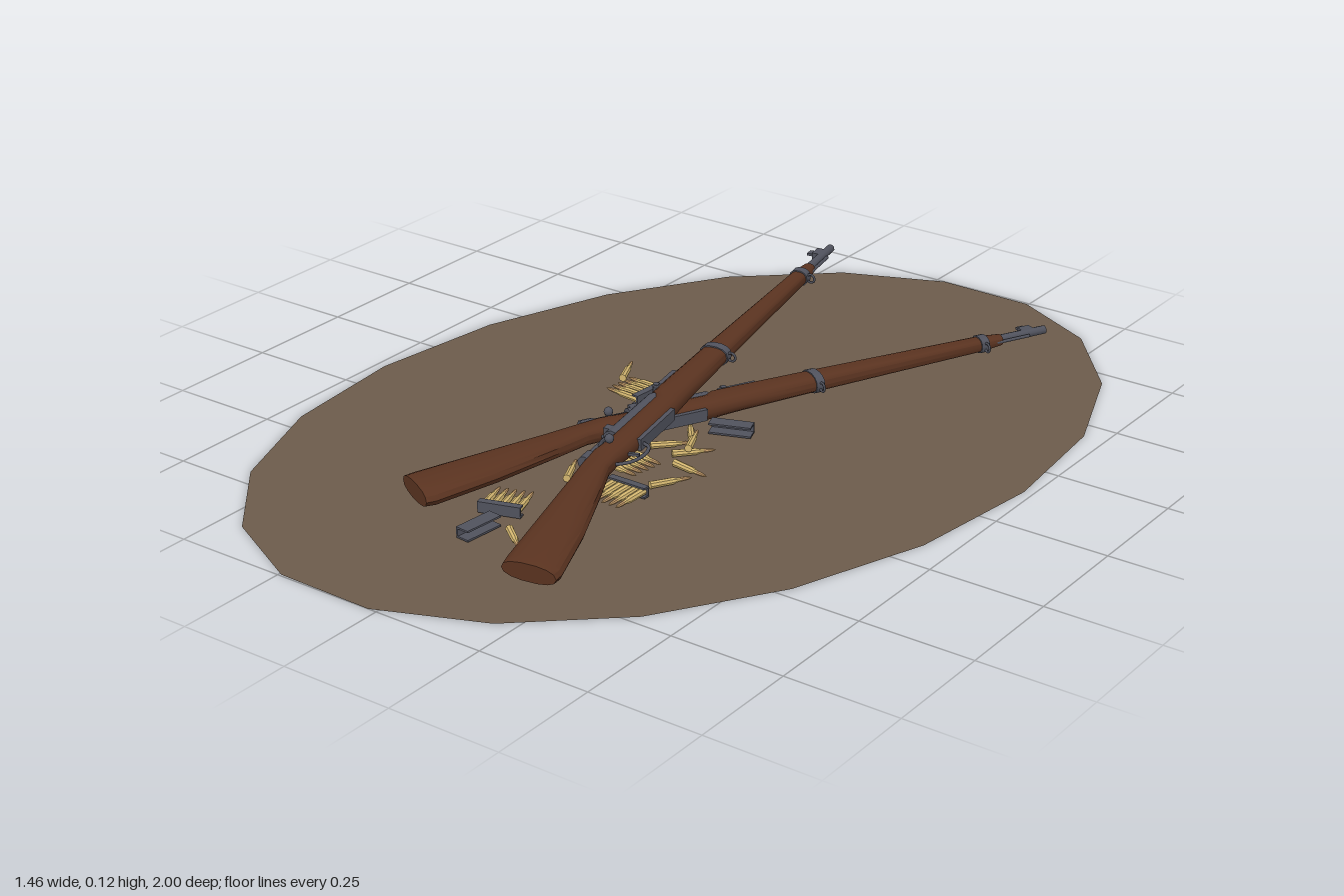
import * as THREE from 'three';
import { toCreasedNormals } from 'three/addons/utils/BufferGeometryUtils.js';

const paint = (name, color, side = THREE.FrontSide) => {
  const m = new THREE.MeshStandardMaterial({ color, side });
  m.name = name;
  return m;
};

export function createModel() {
  const earth = paint('earth', 0x6c5b4b, THREE.DoubleSide);
  const wood = paint('walnut', 0x5a3320);
  const steel = paint('steel', 0x50525d);
  const brass = paint('brass', 0xd2b56f);
  const copper = paint('bullet', 0xc39a68);
  const root = new THREE.Group();
  root.name = 'crossedRifles';

  const add = (parent, name, geo, mat, x = 0, y = 0, z = 0) => {
    const m = new THREE.Mesh(geo, mat);
    m.name = name;
    m.position.set(x, y, z);
    parent.add(m);
    return m;
  };
  const box = (w, h, d) => new THREE.BoxGeometry(w, h, d);
  const rod = (r0, r1, len, n = 10) => new THREE.CylinderGeometry(r1, r0, len, n).rotateX(Math.PI / 2);

  // Oval cross-sections lofted along z; each section is [z, xMin, xMax, halfThickness]
  function loft(sections, sides = 14) {
    const end = ([z, a, b]) => [z, (a + b) / 2 - 1e-5, (a + b) / 2 + 1e-5, 1e-5];
    const rings = [end(sections[0]), ...sections, end(sections[sections.length - 1])];
    const pos = [], idx = [];
    rings.forEach(([z, a, b, h], i) => {
      for (let j = 0; j < sides; j++) {
        const t = (j / sides) * Math.PI * 2, c = Math.cos(t), s = Math.sin(t);
        const q = (v) => Math.sign(v) * Math.abs(v) ** 0.85;
        pos.push((a + b) / 2 + ((b - a) / 2) * q(c), h * q(s), z);
        if (i === rings.length - 1) continue;
        const k = i * sides + j, n = i * sides + ((j + 1) % sides);
        idx.push(k, n, n + sides, k, n + sides, k + sides);
      }
    });
    const g = new THREE.BufferGeometry();
    g.setAttribute('position', new THREE.Float32BufferAttribute(pos, 3));
    g.setIndex(idx);
    return toCreasedNormals(g, 0.7);
  }

  // Ground: a slanted oval with twenty sides
  const oval = new THREE.Shape(Array.from({ length: 20 }, (_, i) => {
    const t = (i * Math.PI) / 10, c = Math.cos(t), s = Math.sin(t);
    return new THREE.Vector2(0.02 * c + 0.73 * s, c + 0.145 * s);
  }));
  add(root, 'ground', new THREE.ShapeGeometry(oval).rotateX(-Math.PI / 2), earth);

  // Rifle lying on its side: muzzle at the origin, z runs to the butt, x is its underside
  function rifle(name, x, y, z, turn, pitch) {
    const g = new THREE.Group();
    g.name = name;
    g.position.set(x, y, z);
    g.rotation.set(pitch, turn, 0, 'YXZ');
    root.add(g);

    add(g, 'stock', loft([
      [0.12, -0.012, 0.016, 0.012], [0.17, -0.018, 0.021, 0.016], [0.4, -0.024, 0.028, 0.018],
      [0.6, -0.029, 0.034, 0.02], [0.78, -0.031, 0.041, 0.022], [0.84, -0.03, 0.045, 0.023],
      [0.86, -0.014, 0.046, 0.023], [1.07, -0.014, 0.047, 0.023], [1.11, -0.02, 0.043, 0.021],
      [1.16, -0.016, 0.047, 0.019], [1.24, -0.005, 0.074, 0.02], [1.4, 0.014, 0.123, 0.022],
      [1.55, 0.032, 0.158, 0.022], [1.572, 0.036, 0.157, 0.02],
    ]), wood);

    // Barrel, front sight and cleaning rod
    add(g, 'barrel', rod(0.0095, 0.0105, 0.2), steel, 0, 0, 0.1);
    add(g, 'cleaningRod', rod(0.004, 0.004, 0.1, 6), steel, 0.014, 0, 0.1);
    add(g, 'frontSightBase', box(0.022, 0.018, 0.03), steel, -0.009, 0, 0.045);
    add(g, 'frontSightBlade', box(0.016, 0.006, 0.018), steel, -0.027, 0, 0.045);

    // Barrel bands with sling swivels
    for (const [s, a, b, h] of [[0.17, -0.021, 0.024, 0.019], [0.6, -0.032, 0.037, 0.023]]) {
      add(g, 'barrelBand', loft([[s - 0.01, a, b, h], [s + 0.01, a, b, h]]), steel);
      add(g, 'slingSwivel', new THREE.TorusGeometry(0.01, 0.003, 5, 10), steel, b + 0.004, 0, s);
    }

    // Rear sight
    add(g, 'rearSight', box(0.012, 0.022, 0.09), steel, -0.031, 0, 0.77);
    add(g, 'rearSightLeaf', box(0.012, 0.026, 0.012), steel, -0.037, 0, 0.8);

    // Receiver, bolt and handle
    add(g, 'receiver', rod(0.02, 0.021, 0.19, 12), steel, -0.014, 0, 0.945);
    add(g, 'bolt', rod(0.012, 0.012, 0.12), steel, -0.018, 0, 1.08);
    add(g, 'boltCocking', rod(0.015, 0.015, 0.03), steel, -0.018, 0, 1.135);
    add(g, 'clipGuide', box(0.018, 0.036, 0.018), steel, -0.03, 0, 1.02);
    const handle = new THREE.CatmullRomCurve3([
      new THREE.Vector3(-0.016, 0.005, 1.09), new THREE.Vector3(-0.006, 0.026, 1.09),
      new THREE.Vector3(0.012, 0.038, 1.1),
    ]);
    add(g, 'boltHandle', new THREE.TubeGeometry(handle, 6, 0.0045, 6), steel);
    add(g, 'boltKnob', new THREE.SphereGeometry(0.01, 10, 8), steel, 0.015, 0.04, 1.1);

    // Magazine plate, trigger and guard
    add(g, 'magazinePlate', box(0.016, 0.026, 0.15), steel, 0.044, 0, 0.96);
    const guard = new THREE.CatmullRomCurve3([
      [0.044, 1.02], [0.07, 1.035], [0.076, 1.07], [0.066, 1.105], [0.04, 1.13],
    ].map(([d, s]) => new THREE.Vector3(d, 0, s)));
    add(g, 'triggerGuard', new THREE.TubeGeometry(guard, 12, 0.004, 6), steel);
    add(g, 'trigger', box(0.03, 0.006, 0.007), steel, 0.053, 0, 1.075).rotation.y = 0.2;
  }
  rifle('lowerRifle', 0.385, 0.03, -0.83, -0.4636, 0);
  rifle('upperRifle', -0.16, 0.115, -0.78, 0.1507, 0.054);

  // Cartridge pointing along +z, base at the origin
  const lathe = (pts) => toCreasedNormals(new THREE.LatheGeometry(
    pts.map(([r, h]) => new THREE.Vector2(r, h)), 8).rotateX(Math.PI / 2), 0.6);
  const caseGeo = lathe([[0, 0], [0.0085, 0], [0.0085, 0.004], [0.008, 0.006], [0.0075, 0.05], [0.005, 0.058], [0.005, 0.066]]);
  const tipGeo = lathe([[0.0048, 0.064], [0.0045, 0.075], [0.003, 0.086], [0, 0.093]]);
  function cartridge(parent, x, y, z, turn = 0, tilt = 0) {
    const g = new THREE.Group();
    g.name = 'cartridge';
    g.position.set(x, y, z);
    g.rotation.set(tilt, turn, 0, 'YXZ');
    add(g, 'cartridgeCase', caseGeo, brass);
    add(g, 'cartridgeBullet', tipGeo, copper);
    parent.add(g);
  }

  // Loose cartridges as base x, z and tip x, z
  for (const [x0, z0, x1, z1, y = 0.01] of [
    [-0.235, -0.075, -0.27, -0.155, 0.022], [0.053, 0.066, 0, 0], [0.06, 0.145, 0.12, 0.08],
    [0.09, 0.177, 0.17, 0.19], [0.11, 0.29, 0.165, 0.2], [0, 0.605, 0.07, 0.66],
    [-0.045, 0.365, -0.09, 0.27], [0.09, 0.13, 0.06, 0.06, 0.024], [0.0, 0.14, 0.05, 0.09],
  ]) cartridge(root, x0, y, z0, Math.atan2(x1 - x0, z1 - z0));

  // Channel-shaped clip, long in x, optionally holding five rounds that point along +z
  function clip(x, z, turn, rounds) {
    const g = new THREE.Group();
    g.name = rounds ? 'loadedClip' : 'emptyClip';
    g.position.set(x, 0.003, z);
    g.rotation.y = turn;
    root.add(g);
    add(g, 'clipBack', box(0.092, 0.024, 0.004), steel, 0, 0.012, -0.002);
    for (const y of [0.002, 0.022]) add(g, 'clipLip', box(0.092, 0.004, rounds ? 0.014 : 0.03), steel, 0, y, rounds ? 0.005 : 0.013);
    for (let i = 0; i < rounds; i++) cartridge(g, (i - 2) * 0.018, 0.012, 0.002);
  }
  clip(-0.145, -0.055, -Math.PI / 2 - 0.08, 5);
  clip(-0.062, 0.56, Math.PI + 0.3, 5);
  clip(0.085, 0.325, 0, 5);
  clip(-0.02, 0.23, Math.PI / 2 - 0.15, 5);
  clip(0.09, -0.03, 0.35, 0);
  clip(-0.06, 0.64, Math.PI / 2 - 0.1, 0);

  return root;
}
